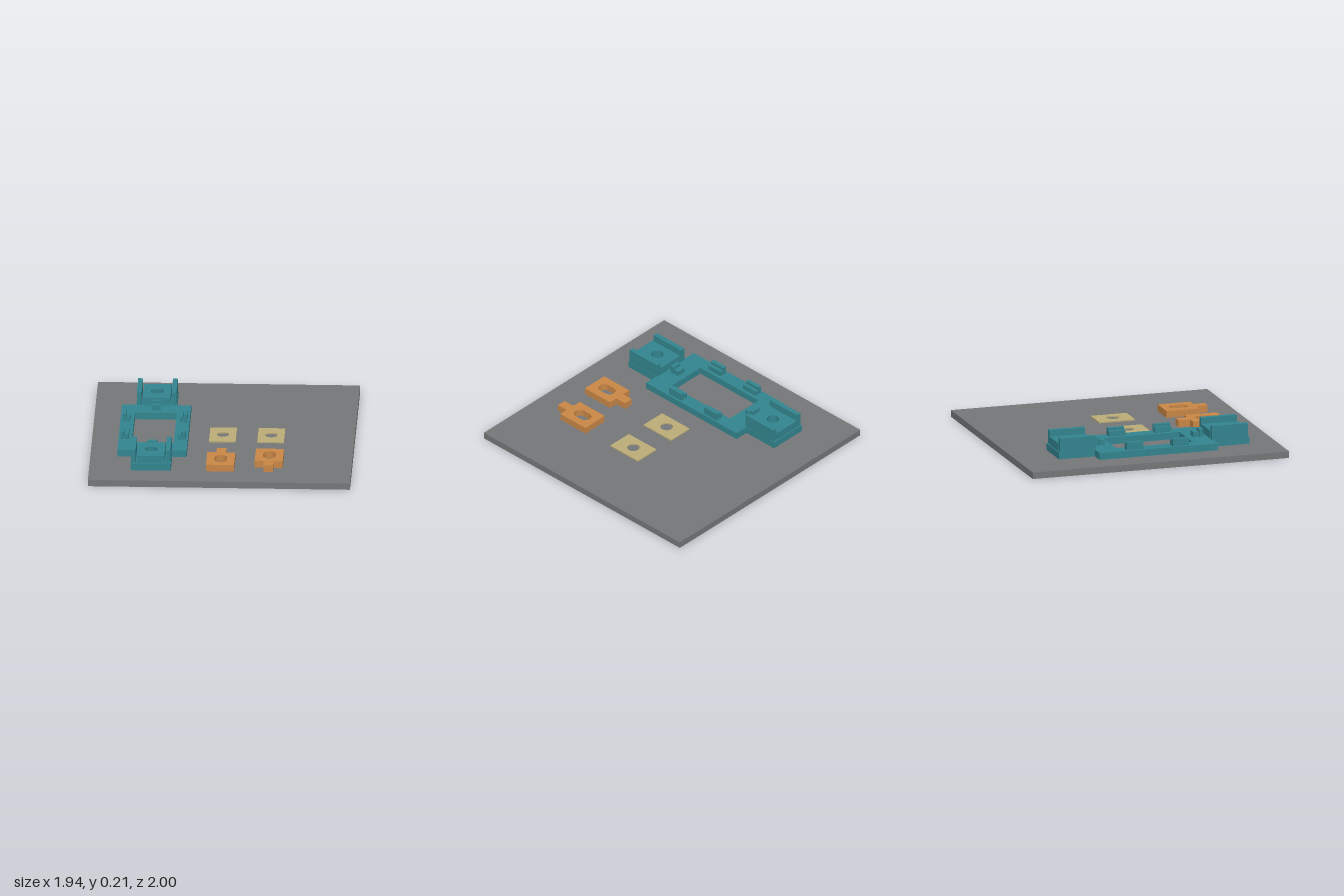
import * as THREE from 'three';

const material = (name, color) => {
  const m = new THREE.MeshStandardMaterial({ color });
  m.name = name;
  return m;
};

export function createModel() {
  const grey = material('greyPlate', 0x757779);
  const teal = material('teal', 0x33858f);
  const orange = material('orange', 0xc98746);
  const sand = material('sand', 0xbdad78);
  const model = new THREE.Group();
  model.name = 'partsOnPlate';
  const DECK = 0.05;

  const group = (name) => {
    const g = new THREE.Group();
    g.name = name;
    model.add(g);
    return g;
  };

  // Box given by its limits
  const box = (parent, name, mat, x0, x1, y0, y1, z0, z1) => {
    const mesh = new THREE.Mesh(new THREE.BoxGeometry(x1 - x0, y1 - y0, z1 - z0), mat);
    mesh.position.set((x0 + x1) / 2, (y0 + y1) / 2, (z0 + z1) / 2);
    mesh.name = name;
    parent.add(mesh);
  };

  // Flat slab from an x/z outline with holes, raised from y0 to y1
  const slab = (parent, name, mat, outline, holes, y0, y1) => {
    const shape = new THREE.Shape(outline.map(([x, z]) => new THREE.Vector2(x, -z)));
    shape.holes = holes;
    const geo = new THREE.ExtrudeGeometry(shape, { depth: y1 - y0, bevelEnabled: false, curveSegments: 16 });
    geo.rotateX(-Math.PI / 2);
    const mesh = new THREE.Mesh(geo, mat);
    mesh.position.y = y0;
    mesh.name = name;
    parent.add(mesh);
  };
  const rect = (x0, x1, z0, z1) => [[x0, z0], [x0, z1], [x1, z1], [x1, z0]];

  // Round hole, or a slot along z when half > 0
  const slot = (x, z, r, half = 0) => {
    const p = new THREE.Path();
    p.absarc(x, -z + half, r, 0, Math.PI, false);
    p.absarc(x, -z - half, r, Math.PI, Math.PI * 2, false);
    p.closePath();
    return p;
  };

  box(model, 'basePlate', grey, -0.972, 0.972, 0, DECK, -1, 1);

  // Bracket frame, with a window and a screw hole in each end tab
  const bracket = group('bracket');
  const cx = -0.515, cz = 0.048, top = 0.102;
  const half = [[0.15, -0.743], [0.15, -0.462], [0.257, -0.462]];
  const quarter = (sx, sz) => half.map(([x, z]) => [cx + sx * x, cz + sz * z]);
  const outline = [
    ...quarter(1, 1), ...quarter(1, -1).reverse(),
    ...quarter(-1, -1), ...quarter(-1, 1).reverse(),
  ];
  const windowHole = new THREE.Path(rect(-0.67, -0.36, -0.25, 0.345).map(([x, z]) => new THREE.Vector2(x, -z)));
  const holeZ = (s) => cz + s * 0.59;
  slab(bracket, 'frame', teal, outline,
    [windowHole, slot(cx, holeZ(-1), 0.046), slot(cx, holeZ(1), 0.046)], DECK, top);

  // Mirrored limits about a centre, sorted
  const span = (c, s, a, b) => (s > 0 ? [c + a, c + b] : [c - b, c - a]);
  for (const s of [-1, 1]) {
    const end = s > 0 ? 'front' : 'back';
    // Raised pad and two side walls on the tab
    slab(bracket, end + 'Pad', teal, rect(cx - 0.102, cx + 0.102, ...span(cz, s, 0.452, 0.735)),
      [slot(cx, holeZ(s), 0.046)], top, 0.162);
    for (const t of [-1, 1]) {
      box(bracket, end + 'TabWall', teal, ...span(cx, t, 0.111, 0.147), top, 0.207, ...span(cz, s, 0.452, 0.732));
    }
    // Stepped clip at the end of the window
    box(bracket, end + 'ClipTall', teal, cx - 0.035, cx + 0.035, top, 0.16, ...span(cz, s, 0.39, 0.42));
    box(bracket, end + 'ClipLow', teal, cx - 0.035, cx + 0.035, top, 0.141, ...span(cz, s, 0.346, 0.386));
    // Stepped clips along the sides
    for (const t of [-1, 1]) {
      const z = span(cz, s, 0.115, 0.243);
      box(bracket, 'sideClipTall', teal, ...span(cx, t, 0.212, 0.241), top, 0.16, ...z);
      box(bracket, 'sideClipLow', teal, ...span(cx, t, 0.181, 0.206), top, 0.141, ...z);
    }
  }

  // Thin square washers
  for (const x of [-0.005, 0.353]) {
    slab(model, 'washer', sand, rect(x - 0.099, x + 0.099, -0.08, 0.2), [slot(x, 0.06, 0.046)], DECK, 0.06);
  }

  // Slotted sliders with a tongue, pointing opposite ways
  const slider = (name, x, z, s) => {
    const pts = [[-0.104, 0.172], [0.104, 0.172], [0.104, -0.084], [0.036, -0.084],
      [0.036, -0.172], [-0.036, -0.172], [-0.036, -0.084], [-0.104, -0.084]];
    slab(model, name, orange, pts.map(([a, b]) => [x + a * s, z + b * s]),
      [slot(x, z + 0.045 * s, 0.045, 0.027)], DECK, top);
  };
  slider('slider', 0, 0.618, 1);
  slider('sliderReversed', 0.358, 0.618, -1);

  return model;
}
